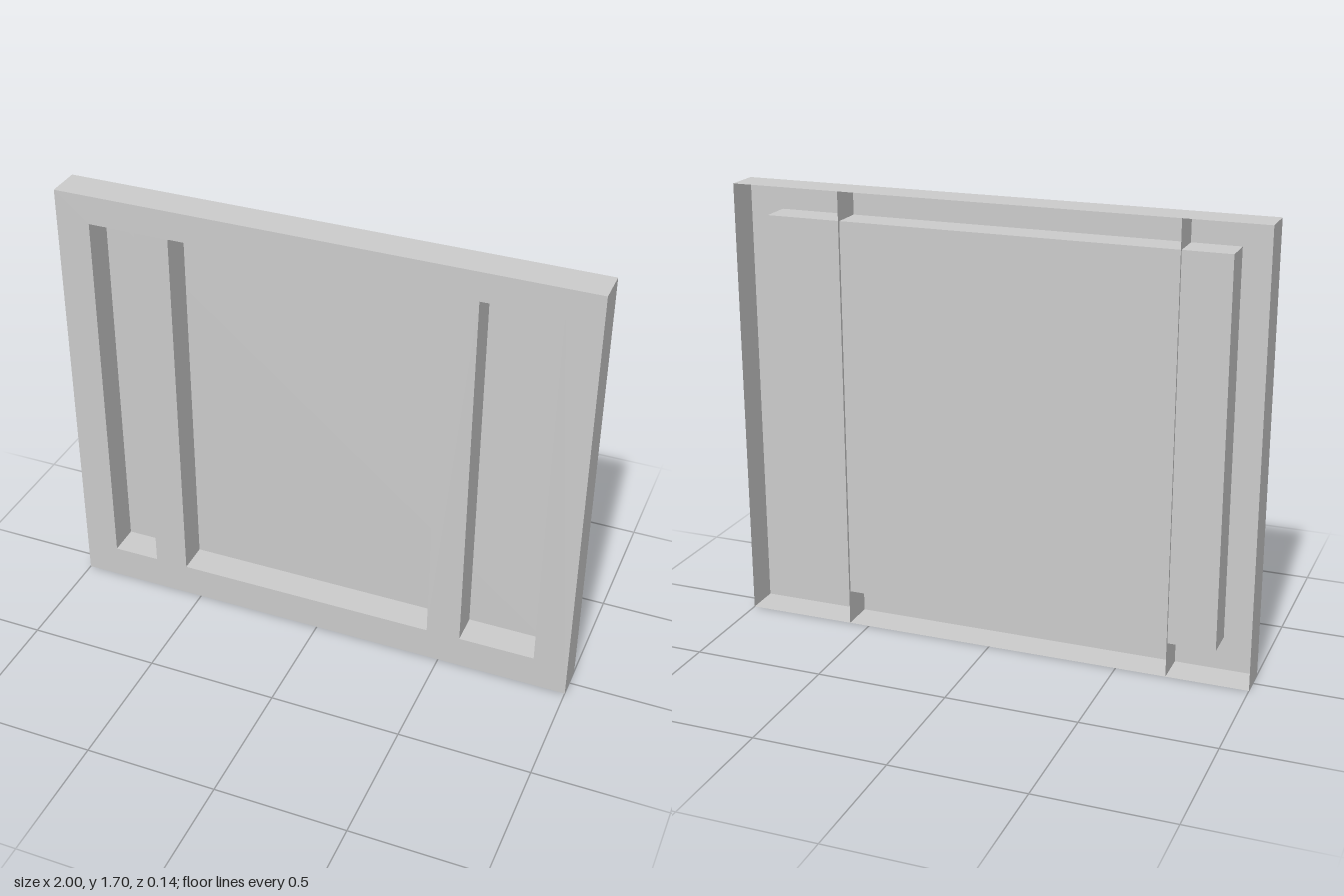
import * as THREE from 'three';

const material = new THREE.MeshStandardMaterial({ color: 0xcccccc, side: THREE.DoubleSide });
const W = 1, H = 1.7;                      // half width and height of the panel
const FRONT = 0.066, RIM = -0.066, BACK = -0.055;
const Y0 = 0.13, Y1 = 1.59;                // recess bottom and top
const recesses = [[-0.87, -0.69], [-0.56, 0.45], [0.58, 0.87]];

export function createModel() {
  const group = new THREE.Group();
  group.name = 'recessedPanel';

  const add = (name, geometry) => {
    const mesh = new THREE.Mesh(geometry, material);
    mesh.name = name;
    group.add(mesh);
    return mesh;
  };
  // Upright sheet across the depth at x
  const upright = (name, x, y0, y1, back) => {
    const g = new THREE.PlaneGeometry(FRONT - back, y1 - y0).rotateY(Math.sign(x) * Math.PI / 2);
    add(name, g).position.set(x, (y0 + y1) / 2, (FRONT + back) / 2);
  };
  // Level sheet across the depth at y
  const level = (name, y, x0, x1, back, up) => {
    const g = new THREE.PlaneGeometry(x1 - x0, FRONT - back).rotateX(up ? -Math.PI / 2 : Math.PI / 2);
    add(name, g).position.set((x0 + x1) / 2, y, (FRONT + back) / 2);
  };

  // Front sheet with three openings
  const face = new THREE.Shape([[-W, 0], [W, 0], [W, H], [-W, H]].map(p => new THREE.Vector2(...p)));
  for (const [a, b] of recesses) {
    face.holes.push(new THREE.Path([[a, Y0], [a, Y1], [b, Y1], [b, Y0]].map(p => new THREE.Vector2(...p))));
  }
  add('frontSheet', new THREE.ShapeGeometry(face)).position.z = FRONT;

  // Outer rim, open at the back
  for (const s of [-1, 1]) upright('rimSide', s * W, 0, H, RIM);
  level('rimBottom', 0, -W, W, RIM, false);
  level('rimTop', H, -W, W, RIM, true);

  // Shallow tray behind the openings
  for (const s of [-1, 1]) upright('traySide', s * 0.87, Y0, Y1, BACK);
  level('trayBottom', Y0, -0.87, 0.87, BACK, false);
  level('trayTop', Y1, -0.87, 0.87, BACK, true);
  const back = add('trayBack', new THREE.PlaneGeometry(1.74, Y1 - Y0).rotateY(Math.PI));
  back.position.set(0, (Y0 + Y1) / 2, BACK);

  // Inner walls of the middle recess, and full-height ribs beside it
  for (const x of recesses[1]) upright('recessWall', x, Y0, Y1, BACK);
  for (const x of [recesses[0][1], recesses[2][0]]) upright('rib', x, 0, H, RIM);

  group.rotation.y = 0.004;                // slight skew of the whole panel
  return group;
}
